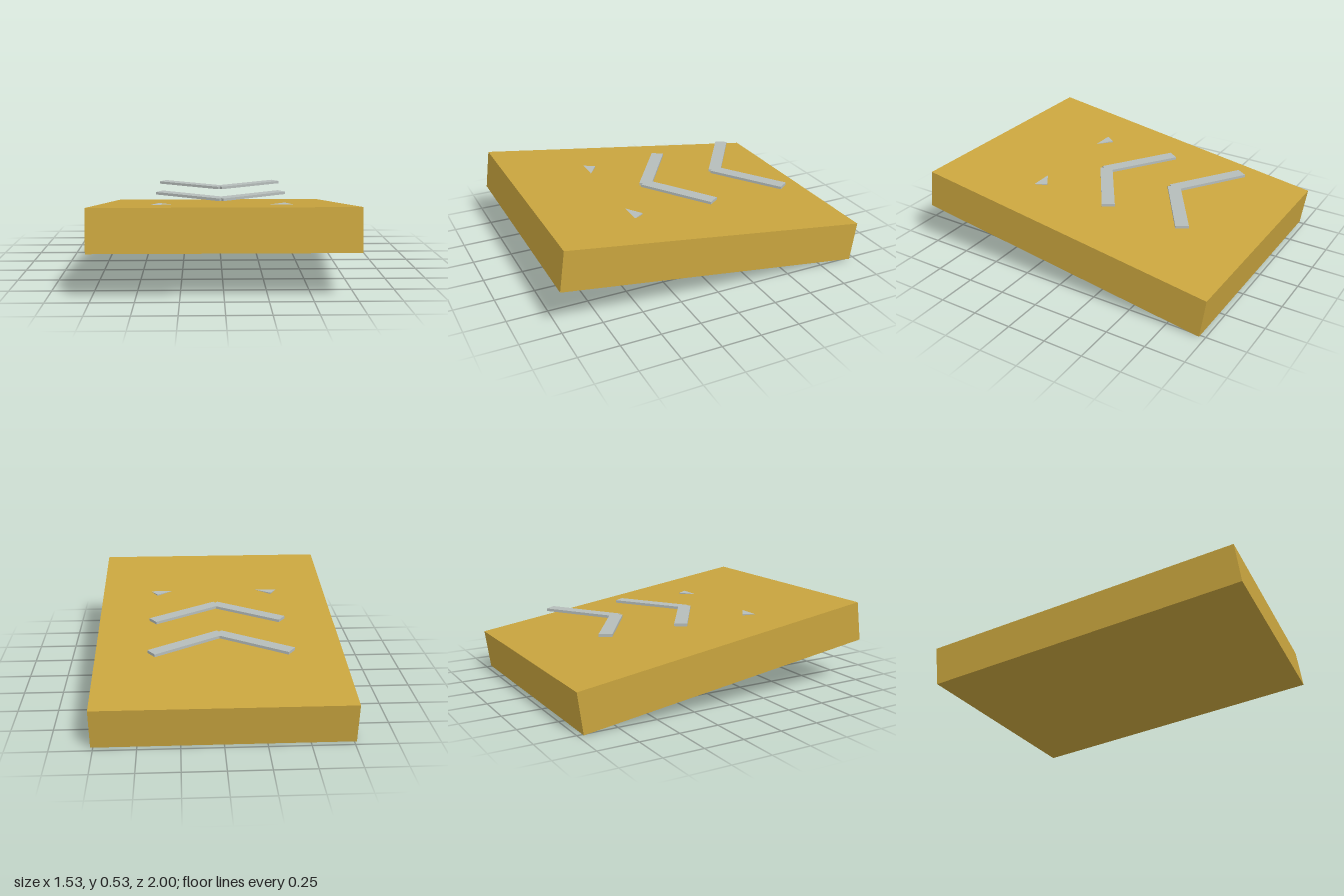
import * as THREE from 'three';

const TILT = THREE.MathUtils.degToRad(8);
const ARM_ANGLE = THREE.MathUtils.degToRad(34);

export function createModel() {
  const model = new THREE.Group();
  model.name = 'boostRamp';

  const gold = new THREE.MeshStandardMaterial({ color: 0xc8a43e });
  gold.name = 'gold';
  const silver = new THREE.MeshStandardMaterial({ color: 0xb5bcba });
  silver.name = 'silver';

  // Tilted slab, front edge raised
  const slab = new THREE.Mesh(new THREE.BoxGeometry(1.53, 0.253, 1.984), gold);
  slab.name = 'slab';
  slab.position.y = 0.265;
  slab.rotation.x = -TILT;
  model.add(slab);

  // Three level chevrons pointing forward; the front one is mostly sunk in the slab
  const armGeometry = new THREE.BoxGeometry(0.51, 0.017, 0.08);
  [-0.511, 0, 0.511].forEach((z, i) => {
    const chevron = new THREE.Group();
    chevron.name = `chevron${i + 1}`;
    chevron.position.set(0, 0.441, z);
    for (const side of [1, -1]) {
      const arm = new THREE.Mesh(armGeometry, silver);
      arm.name = side > 0 ? 'leftArm' : 'rightArm';
      arm.position.x = side * 0.2025;
      arm.rotation.y = side * ARM_ANGLE;
      chevron.add(arm);
    }
    model.add(chevron);
  });

  return model;
}
